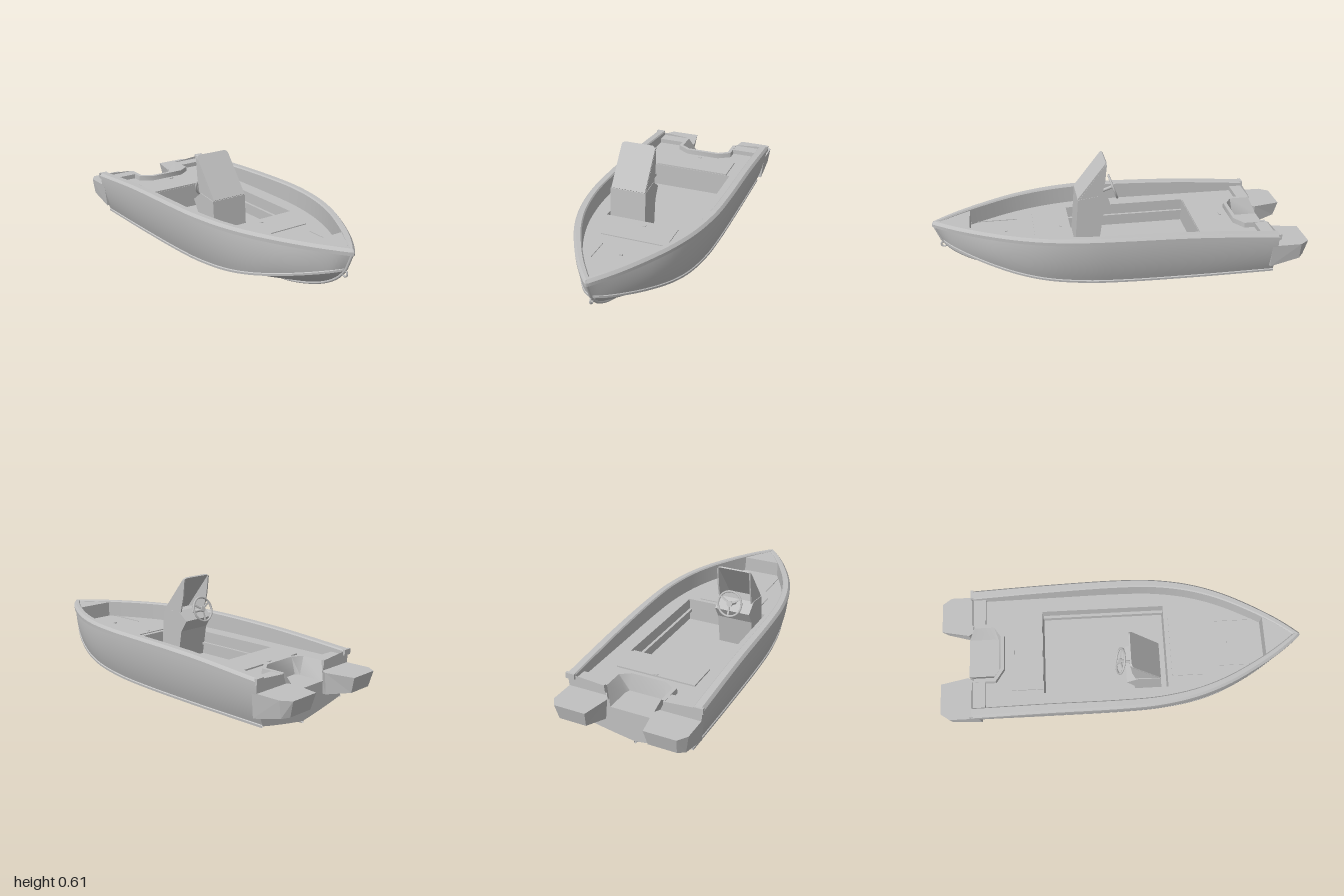
import * as THREE from 'three';
import { toCreasedNormals } from 'three/addons/utils/BufferGeometryUtils.js';

const V = (x, y, z) => new THREE.Vector3(x, y, z);
const curve = pts => new THREE.CatmullRomCurve3(pts.map(p => V(...p)));
const DECK = 0.262, FLOOR = 0.13, WELL = 0.2;

// Hull lines, stern to bow
const sheer = curve([[-.82, .305, .365], [-.4, .338, .367], [0, .353, .368], [.2, .356, .358], [.4, .356, .322],
  [.57, .355, .263], [.72, .353, .187], [.85, .351, .108], [.94, .349, .042], [.99, .347, 0]]);
const chine = curve([[-.82, .068, .31], [-.4, .07, .312], [0, .078, .312], [.2, .087, .305], [.4, .105, .28],
  [.55, .13, .24], [.7, .165, .175], [.82, .198, .107], [.9, .222, .05], [.945, .236, 0]]);
const keel = curve([[-.82, .012, 0], [-.4, .012, 0], [0, .012, 0], [.2, .012, 0], [.4, .015, 0],
  [.55, .035, 0], [.7, .078, 0], [.82, .13, 0], [.9, .185, 0], [.945, .236, 0]]);

// Surface through a list of equally long rows of points
function loft(rows) {
  const n = rows[0].length, pos = [], idx = [];
  rows.forEach(r => r.forEach(p => pos.push(p.x, p.y, p.z)));
  for (let i = 0; i < rows.length - 1; i++) for (let j = 0; j < n - 1; j++) {
    const a = i * n + j, b = a + n;
    idx.push(a, b, a + 1, b, b + 1, a + 1);
  }
  const g = new THREE.BufferGeometry();
  g.setAttribute('position', new THREE.Float32BufferAttribute(pos, 3));
  g.setIndex(idx);
  return toCreasedNormals(g, 0.6);
}
const along = (fn, n = 72) => loft(Array.from({ length: n + 1 }, (_, i) => fn(i / n)));
// Straight or bulged section between two hull lines
function section(a, b, bulge, n = 8) {
  return Array.from({ length: n + 1 }, (_, i) => {
    const s = i / n, p = a.clone().lerp(b, s), k = bulge * 4 * s * (1 - s);
    return V(p.x, p.y - k * 0.3, p.z + k * Math.min(1, b.z / 0.2));
  });
}
const sideSection = t => section(chine.getPoint(t), sheer.getPoint(t), 0.013);
const bottomSection = t => section(keel.getPoint(t), chine.getPoint(t), 0.006);
// Point beside the sheer line: out from the hull and up
function beside(t, out, dy) {
  const p = sheer.getPoint(t), d = sheer.getTangent(t), l = Math.hypot(d.x, d.z);
  return V(p.x - d.z / l * out, p.y + dy, t === 1 ? 0 : Math.max(0, p.z + d.x / l * out));
}
const railWidth = t => 0.046 - 0.022 * t;
const poly = pts => new THREE.Shape(pts.map(p => new THREE.Vector2(p[0], p[1])));
const mirrored = pts => [...pts, ...pts.map(([x, z]) => [x, -z]).reverse()];
// Flat shape given in x and z, laid at height y
const flat = (shape, y) => new THREE.ShapeGeometry(shape).rotateX(Math.PI / 2).translate(0, y, 0);

export function createModel() {
  const boat = new THREE.Group();
  boat.name = 'motorboat';
  const grey = new THREE.MeshStandardMaterial({ color: 0xc0c0c0, side: THREE.DoubleSide });
  grey.name = 'light grey';
  const add = (name, geo, parent = boat) => {
    const m = new THREE.Mesh(geo, grey);
    m.name = name;
    parent.add(m);
    return m;
  };
  const box = (name, x0, x1, y0, y1, z0, z1, parent) => add(name,
    new THREE.BoxGeometry(x1 - x0, y1 - y0, z1 - z0).translate((x0 + x1) / 2, (y0 + y1) / 2, (z0 + z1) / 2), parent);
  const both = (name, geo) => {
    add(name + 'Left', geo);
    add(name + 'Right', geo.clone().scale(1, 1, -1));
  };

  // Hull skin, spray rails and gunwales
  both('hullSide', along(sideSection));
  both('hullBottom', along(bottomSection));
  both('sprayRail', along(t => [[-.004, .012], [.008, .004], [.007, -.007], [-.004, -.004]].map(([o, y]) => {
    const p = chine.getPoint(t);
    return V(p.x, p.y + y, t === 1 ? 0 : Math.max(0, p.z + o));
  })));
  both('gunwale', along(t => {
    const w = railWidth(t), p = sheer.getPoint(t);
    const drop = p.x < 0.81 ? DECK - p.y : -0.025;
    return [[-.002, -.028], [.007, -.026], [.008, -.008], [.002, 0], [-.004, .007], [.006 - w, .007], [-w, 0], [-w, drop]]
      .map(([o, y]) => beside(t, o, y));
  }));
  both('gunwaleEnd', new THREE.BoxGeometry(.016, .03, .05).translate(-.822, .297, .347));
  const keelPath = new THREE.CatmullRomCurve3([...keel.getPoints(40), V(.968, .29, 0), V(.988, .34, 0)]);
  add('keelStrip', new THREE.TubeGeometry(keelPath, 80, .007, 8).translate(0, -.005, 0));
  add('bowEye', new THREE.TorusGeometry(.015, .005, 8, 20).translate(.942, .215, 0));

  // Transom with a low middle for the outboard
  const half = [...bottomSection(0), ...sideSection(0).slice(1)].map(p => [p.z, p.y]);
  const top = [[.17, .29], [.13, WELL]];
  const rim = [...half, ...top];
  add('transom', new THREE.ShapeGeometry(poly([...rim, ...rim.slice(1).map(([z, y]) => [-z, y]).reverse()]))
    .rotateY(-Math.PI / 2).translate(-.82, 0, 0));

  // Deck with the cockpit opening and a notch for the motor well
  const inner = [];
  for (let i = 0; i <= 90; i++) {
    const p = beside(i / 90, -railWidth(i / 90), 0);
    if (p.x < 0.8) inner.push([p.x, p.z]);
  }
  inner.push([.8, inner[inner.length - 1][1]]);
  const deck = poly(mirrored([[-.645, .1], [-.69, .165], [-.81, .165], ...inner]));
  deck.holes.push(poly([[-.43, -.24], [-.43, .24], [.255, .24], [.255, -.24]]));
  add('deck', flat(deck, DECK));
  const pit = [[-.43, -.24], [-.43, .24], [.255, .24], [.255, -.24], [-.43, -.24]];
  add('cockpitWalls', loft([DECK, FLOOR].map(y => pit.map(([x, z]) => V(x, y, z)))));
  add('cockpitFloor', flat(poly(pit.slice(0, 4)), FLOOR));
  for (const s of [-1, 1]) box('cockpitLedge', -.43, .255, .185, .2, s * .232 - .008, s * .232 + .008);

  // Hatches and bow deck
  box('rearHatch', -.605, -.432, DECK, DECK + .008, -.22, .22);
  box('rearHatchLatch', -.603, -.59, DECK, DECK + .012, -.012, .012);
  box('frontHatch', .28, .455, DECK, DECK + .005, -.18, .18);
  box('frontHatchLatch', .30, .315, DECK, DECK + .008, -.008, .008);
  box('bowHatchLatch', .60, .612, DECK, DECK + .006, -.008, .008);
  for (const s of [-1, 1]) box('bowSeam', .54, .8, DECK, DECK + .004, s * .132 - .002, s * .132 + .002);
  const bowZ = inner[inner.length - 1][1] + .006;
  box('bowLockerFace', .795, .802, DECK, .348, -bowZ, bowZ);
  add('bowLockerTop', flat(poly([[.797, bowZ], [.87, .08], [.97, 0], [.87, -.08], [.797, -bowZ]]), .348));

  // Stern coaming, motor well and bathing platforms
  both('sternCoaming', new THREE.BoxGeometry(.07, .1, .17).translate(-.782, .238, .245));
  const ring = (pts, y) => mirrored(pts).map(([x, z]) => V(x, y, z));
  add('motorWell', loft([
    ring([[-.81, .172], [-.69, .172], [-.643, .1]], DECK - .02),
    ring([[-.81, .168], [-.69, .168], [-.645, .1]], .29),
    ring([[-.81, .148], [-.70, .148], [-.665, .095]], .29),
    ring([[-.85, .11], [-.71, .11], [-.685, .1]], WELL)]));
  box('motorMount', -.85, -.685, .13, WELL, -.11, .11);
  const outline = poly([[-1, .155], [-1, .325], [-.95, .36], [-.79, .36], [-.79, .165], [-.85, .125]]);
  const pod = new THREE.ExtrudeGeometry(outline, { depth: .12, bevelEnabled: false })
    .rotateX(Math.PI / 2).translate(0, .238, 0);
  const pp = pod.attributes.position;
  for (let i = 0; i < pp.count; i++) if (pp.getY(i) < .15) {
    const x = Math.max(pp.getX(i), -.98);
    pp.setXYZ(i, x, .155 - (x + .98) * .25, .25 + (pp.getZ(i) - .25) * .88);
  }
  pod.computeVertexNormals();
  both('bathingPlatform', pod);

  // Helm console
  const helm = new THREE.Group();
  helm.name = 'helmConsole';
  boat.add(helm);
  const slab = (name, pts, z0, z1) => add(name,
    new THREE.ExtrudeGeometry(poly(pts), { depth: z1 - z0, bevelEnabled: false }).translate(0, 0, z0), helm);
  slab('consoleBody', [[.09, FLOOR], [.225, FLOOR], [.205, .4], [.09, .415], [.025, .365], [.065, .3]], .034, .236);
  for (const z of [.036, .224]) slab('screenWing', [[.203, .395], [.052, .592], [.042, .6], [.052, .5], [.072, .41]], z, z + .008);

  // Raked screen with rounded top corners
  const w = .097, h = .26, r = .025;
  const screen = new THREE.Shape();
  screen.moveTo(-w, 0).lineTo(w, 0).lineTo(w, h - r);
  screen.quadraticCurveTo(w, h, w - r, h).lineTo(-w + r, h);
  screen.quadraticCurveTo(-w, h, -w, h - r);
  const up = V(-.155, .2, 0).normalize(), out = V(up.y, -up.x, 0);
  const pane = new THREE.ExtrudeGeometry(screen, { depth: .008, bevelEnabled: false, curveSegments: 6 });
  pane.applyMatrix4(new THREE.Matrix4().makeBasis(V(0, 0, -1), up, out).setPosition(.2, .4, .134));
  add('windscreen', pane, helm);

  // Steering wheel, leaning toward the screen
  const wheel = new THREE.Group();
  wheel.name = 'steeringWheel';
  const wUp = V(.34, .94, 0).normalize();
  wheel.applyMatrix4(new THREE.Matrix4().makeBasis(V(0, 0, 1), wUp, V(-wUp.y, wUp.x, 0)).setPosition(-.005, .425, .134));
  helm.add(wheel);
  add('wheelRim', new THREE.TorusGeometry(.068, .006, 8, 32), wheel);
  add('wheelHub', new THREE.CylinderGeometry(.016, .016, .012, 16).rotateX(Math.PI / 2), wheel);
  add('wheelColumn', new THREE.CylinderGeometry(.009, .009, .08, 12).rotateX(Math.PI / 2).translate(0, 0, -.04), wheel);
  for (let i = 0; i < 3; i++) add('wheelSpoke',
    new THREE.BoxGeometry(.01, .066, .006).translate(0, .033, 0).rotateZ(Math.PI + i * Math.PI * 2 / 3), wheel);
  return boat;
}
